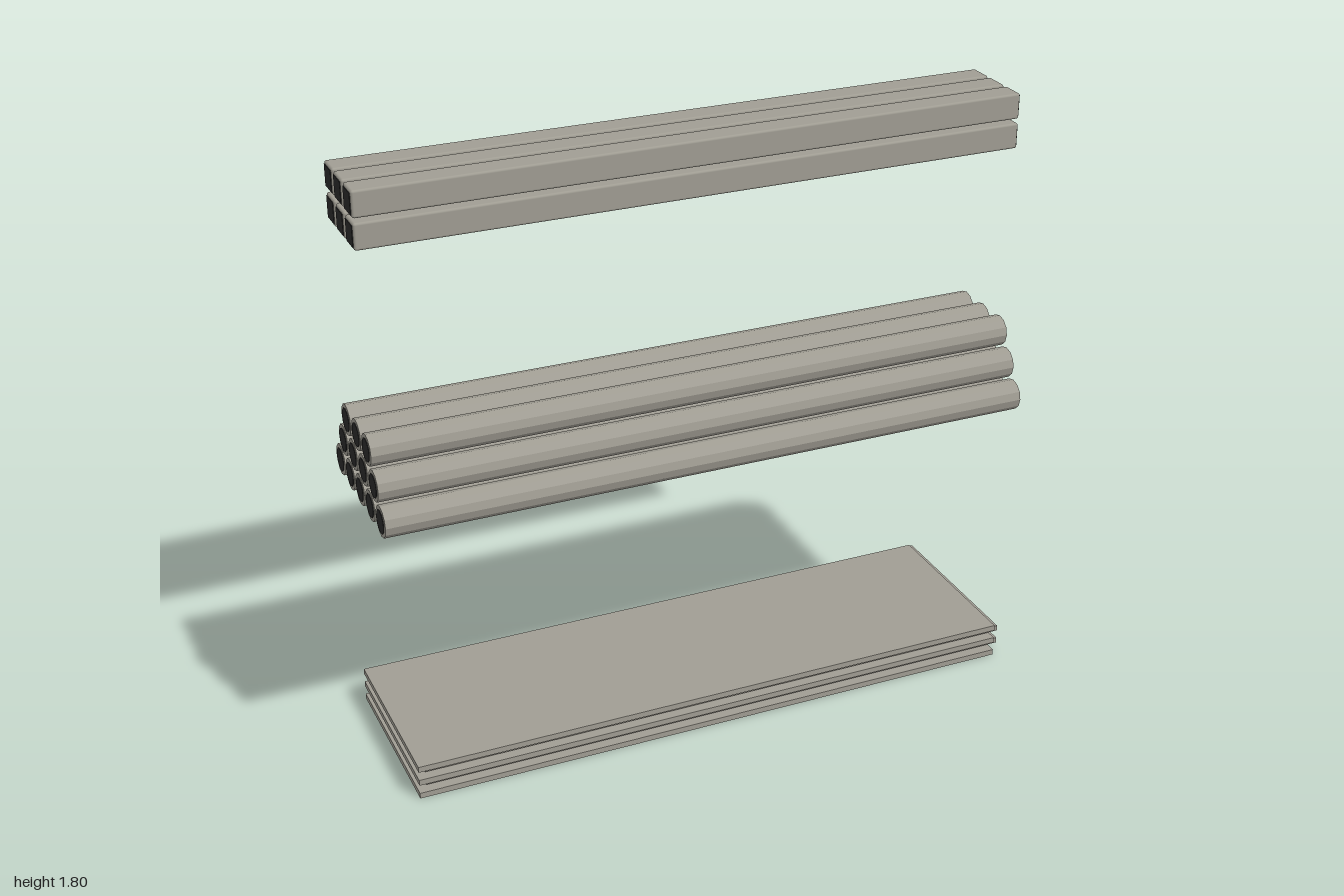
import * as THREE from 'three';
import { RoundedBoxGeometry } from 'three/addons/geometries/RoundedBoxGeometry.js';

export function createModel() {
  const model = new THREE.Group();
  model.name = 'metalStock';
  const steel = new THREE.MeshStandardMaterial({ color: 0xa09d93 });
  steel.name = 'steel';
  const bore = new THREE.MeshStandardMaterial({ color: 0x2b2b2b });
  bore.name = 'darkBore';

  const add = (parent, name, geometry, material, x, y, z) => {
    const mesh = new THREE.Mesh(geometry, material);
    mesh.name = name;
    mesh.position.set(x, y, z);
    parent.add(mesh);
    return mesh;
  };
  const bundle = (name) => {
    const group = new THREE.Group();
    group.name = name;
    model.add(group);
    return group;
  };

  // Stack of five sheets, alternately shifted along the diagonal
  const sheets = bundle('sheetStack');
  const sheetGeo = new THREE.BoxGeometry(1.9, 0.018, 0.558);
  for (let i = 0; i < 5; i++) {
    const s = i % 2 ? -1 : 1;
    add(sheets, 'sheet', sheetGeo, steel, -0.0135 * s, 0.01 + i * 0.0225, 0.0135 * s);
  }

  // Pyramid of round pipes in rows of five, four and three
  const pipes = bundle('roundPipes');
  const pipeGeo = new THREE.CylinderGeometry(0.047, 0.047, 1.996, 12).toNonIndexed();
  pipeGeo.rotateZ(Math.PI / 2);
  pipeGeo.computeVertexNormals();
  const pipeBoreGeo = new THREE.CylinderGeometry(0.035, 0.035, 2, 12);
  pipeBoreGeo.rotateZ(Math.PI / 2);
  for (let row = 0; row < 3; row++) {
    const count = 5 - row;
    for (let i = 0; i < count; i++) {
      const y = 0.873 + row * 0.0865;
      const z = (i - (count - 1) / 2) * 0.1;
      add(pipes, 'pipe', pipeGeo, steel, 0, y, z);
      // Only the end discs of this core can be seen
      add(pipes, 'pipeBore', pipeBoreGeo, bore, 0, y, z);
    }
  }

  // Two rows of three square tubes with softened edges
  const tubes = bundle('squareTubes');
  const tubeGeo = new RoundedBoxGeometry(1.994, 0.077, 0.077, 2, 0.007);
  const tubeBoreGeo = new THREE.BoxGeometry(1.998, 0.062, 0.062);
  for (const y of [1.677, 1.767]) {
    for (const z of [-0.091, 0, 0.091]) {
      add(tubes, 'tube', tubeGeo, steel, 0, y, z);
      add(tubes, 'tubeBore', tubeBoreGeo, bore, 0, y, z);
    }
  }
  return model;
}
